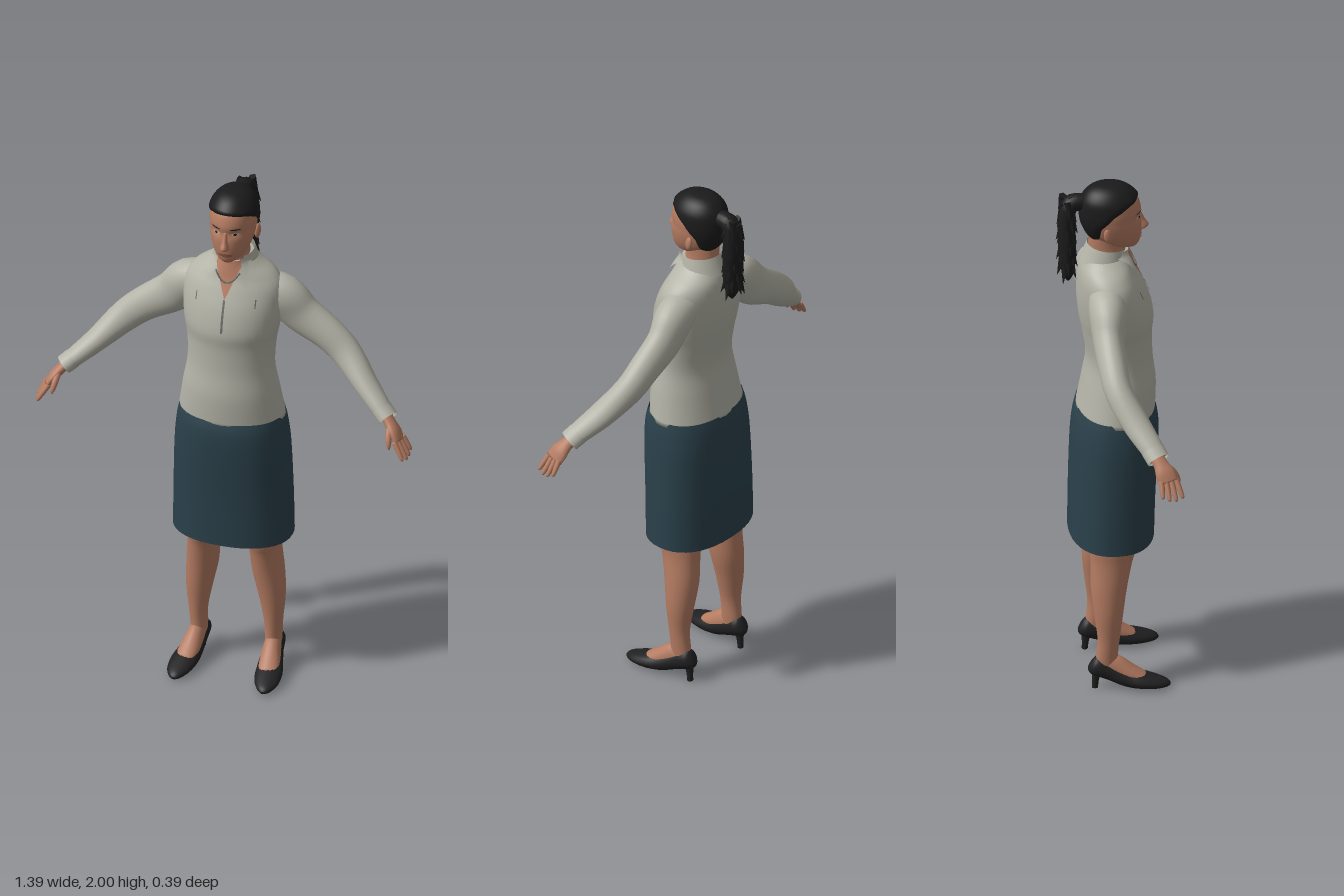
import * as THREE from 'three';

const mat = (name, color, side = THREE.FrontSide) => {
  const m = new THREE.MeshStandardMaterial({ color, side });
  m.name = name;
  return m;
};
const { lerp, clamp } = THREE.MathUtils;

// Smooth a list of number rows by Catmull-Rom interpolation
function dense(rows, n = 5) {
  const out = [], at = i => rows[clamp(i, 0, rows.length - 1)];
  for (let i = 0; i < rows.length - 1; i++) {
    for (let k = 0; k < n; k++) {
      const t = k / n;
      out.push(rows[i].map((b, c) => {
        const a = at(i - 1)[c], d = at(i + 1)[c], e = at(i + 2)[c];
        return 0.5 * (2 * b + (d - a) * t + (2 * a - 5 * b + 4 * d - e) * t * t + (3 * b - a - 3 * d + e) * t * t * t);
      }));
    }
  }
  out.push(rows[rows.length - 1]);
  return out;
}

// Skin rings {c, u, v} (u, v are scaled half axes) into one smooth surface
function skin(rings, { seg = 32, p = 1, capped = true, rule } = {}) {
  const pos = [], idx = [], v3 = new THREE.Vector3();
  const pw = a => Math.sign(a) * Math.abs(a) ** p;
  const add = v => { if (rule) rule(v); pos.push(v.x, v.y, v.z); };
  for (const { c, u, v } of rings) for (let j = 0; j < seg; j++) {
    const t = j / seg * Math.PI * 2;
    add(v3.copy(c).addScaledVector(u, pw(Math.cos(t))).addScaledVector(v, pw(Math.sin(t))));
  }
  const last = rings.length - 1, base = rings.length * seg;
  for (let i = 0; i < last; i++) for (let j = 0; j < seg; j++) {
    const a = i * seg + j, b = i * seg + (j + 1) % seg;
    idx.push(a, b, a + seg, b, b + seg, a + seg);
  }
  if (capped) {
    add(v3.copy(rings[0].c));
    add(v3.copy(rings[last].c));
    for (let j = 0; j < seg; j++) {
      const k = (j + 1) % seg;
      idx.push(base, k, j, base + 1, last * seg + j, last * seg + k);
    }
  }
  const g = new THREE.BufferGeometry();
  g.setAttribute('position', new THREE.Float32BufferAttribute(pos, 3));
  g.setIndex(idx);
  g.computeVertexNormals();
  return g;
}

// Upright body from rows [y, half width, front z, back z, centre x], bottom to top
const body = (rows, opt) => skin(dense(rows).map(([y, w, f, b, x = 0]) => ({
  c: new THREE.Vector3(x, y, (f + b) / 2), u: new THREE.Vector3(0, 0, (f - b) / 2), v: new THREE.Vector3(w, 0, 0),
})), opt);

// Limb along a path from rows [x, y, z, half size along ref, half size across]
function limb(rows, ref, opt) {
  const d = dense(rows, 4), P = d.map(r => new THREE.Vector3(r[0], r[1], r[2]));
  return skin(d.map((r, i) => {
    const w = P[Math.min(i + 1, P.length - 1)].clone().sub(P[Math.max(i - 1, 0)]).normalize();
    const u = ref.clone().addScaledVector(w, -ref.dot(w)).normalize();
    const v = w.clone().cross(u);
    return { c: P[i], u: u.multiplyScalar(r[3]), v: v.multiplyScalar(r[4]) };
  }), { seg: 20, ...opt });
}

// Front depth of an upright body at x, y
function frontZ(rows, x, y) {
  const d = dense(rows);
  let i = 0;
  while (i < d.length - 2 && d[i + 1][0] < y) i++;
  const t = clamp((y - d[i][0]) / (d[i + 1][0] - d[i][0]), 0, 1);
  const [w, f, b] = [1, 2, 3].map(k => lerp(d[i][k], d[i + 1][k], t));
  return (f + b) / 2 + (f - b) / 2 * Math.sqrt(Math.max(0, 1 - (x / w) ** 2));
}

// Thin piece laid on the front of a body, between x edges l(t) and r(t)
function patch(rows, y0, y1, l, r, off, nx = 8, ny = 8) {
  const g = new THREE.PlaneGeometry(1, 1, nx, ny), p = g.attributes.position;
  for (let i = 0; i < p.count; i++) {
    const t = p.getY(i) + 0.5, y = lerp(y0, y1, t), x = lerp(l(t), r(t), p.getX(i) + 0.5);
    p.setXYZ(i, x, y, frontZ(rows, x, y) + off);
  }
  g.computeVertexNormals();
  return g;
}

const HEAD = [[1.745, .025, .1, .04], [1.762, .05, .111, -.02], [1.8, .07, .118, -.068], [1.84, .08, .119, -.09], [1.87, .083, .114, -.098],
  [1.9, .084, .116, -.1], [1.94, .079, .104, -.094], [1.97, .06, .077, -.073], [1.986, .036, .046, -.045], [1.991, .012, .014, -.016]];
const TORSO = [[1.085, .195, .165, -.118], [1.2, .177, .168, -.097], [1.3, .16, .157, -.082], [1.4, .163, .155, -.095], [1.47, .175, .16, -.108],
  [1.55, .183, .142, -.115], [1.62, .18, .112, -.113], [1.665, .15, .09, -.108], [1.7, .1, .08, -.098], [1.73, .065, .07, -.088]];

export function createModel() {
  const model = new THREE.Group();
  const skinM = mat('skin', 0xb57c62), shirtM = mat('shirt', 0xb3b3a7, THREE.DoubleSide), skirtM = mat('skirt', 0x2b414b, THREE.DoubleSide);
  const hairM = mat('hair', 0x1b1b1c), shoeM = mat('shoe', 0x202022), trimM = mat('trim', 0x6c6d68, THREE.DoubleSide);
  const lipM = mat('lips', 0x8f5546), eyeM = mat('eyeWhite', 0xc9beb4);
  const X = new THREE.Vector3(1, 0, 0), Y = new THREE.Vector3(0, 1, 0), Z = new THREE.Vector3(0, 0, 1);
  const add = (name, geo, m) => {
    const mesh = new THREE.Mesh(geo, m);
    mesh.name = name;
    model.add(mesh);
    return mesh;
  };

  // Clothing
  add('blouse', body(TORSO, { seg: 40 }), shirtM);
  add('skirt', body([[.58, .22, .16, -.145], [.75, .217, .165, -.143], [.95, .21, .175, -.137], [1.05, .2, .175, -.127], [1.1, .19, .163, -.114]],
    { seg: 40, p: .88, capped: false }), skirtM);
  add('neckOpening', patch(TORSO, 1.6, 1.735, t => -.055 * t, t => .055 * t, .004), skinM);
  add('placket', patch(TORSO, 1.48, 1.6, () => -.004, () => .004, .004, 1), trimM);
  const band = add('collarBand', new THREE.CylinderGeometry(.072, .09, .07, 32, 2, true, .75, Math.PI * 2 - 1.5), shirtM);
  band.position.set(0, 1.72, -.01);
  band.rotation.x = .12;
  const chain = [-.045, -.025, 0, .025, .045].map(x => {
    const y = 1.658 + 18 * x * x;
    return new THREE.Vector3(x, y, frontZ(TORSO, x, y) + .007);
  });
  add('necklace', new THREE.TubeGeometry(new THREE.CatmullRomCurve3(chain), 20, .003, 6), trimM);

  // Neck and head
  add('neck', body([[1.66, .055, .065, -.075], [1.72, .054, .062, -.073], [1.76, .052, .055, -.073], [1.82, .055, .06, -.07]]), skinM);
  add('head', body(HEAD, { seg: 48, rule: v => {
    if (v.z > 0) v.z -= .006 * Math.exp(-(((Math.abs(v.x) - .035) / .018) ** 2) - ((v.y - 1.873) / .014) ** 2);
  } }), skinM);
  add('nose', body([[1.803, .008, .118, .09], [1.81, .017, .134, .09], [1.822, .016, .145, .09], [1.845, .011, .131, .09], [1.878, .008, .116, .09]],
    { seg: 16 }), skinM);
  const bow = (w, t) => w * Math.sqrt(Math.max(0, 1 - (2 * t - 1) ** 2));
  add('lips', patch(HEAD, 1.777, 1.793, t => -bow(.026, t), t => bow(.026, t), .003), lipM);

  // Hair shell that sinks under the skin along the hairline
  const line = [[1.7, -.05], [1.85, -.035], [1.9, .01], [1.93, .06], [1.95, .13], [2.1, .6]];
  const hairline = y => {
    const i = Math.max(1, line.findIndex(q => q[0] > y)), [a, b] = [line[i - 1], line[i]];
    return lerp(a[1], b[1], (y - a[0]) / (b[0] - a[0]));
  };
  const middle = new THREE.Vector3(0, 1.87, 0);
  add('hairCap', body(HEAD, { seg: 64, rule: v => {
    const d = Math.min(hairline(v.y) - v.z, v.y - 1.765);
    v.addScaledVector(v.clone().sub(middle).normalize(), clamp(d * .5, -.015, .008));
  } }), hairM);

  // Ponytail with loose pointed locks
  add('ponytail', limb([[0, 1.93, -.085, .03, .03], [0, 1.925, -.135, .035, .033], [0, 1.87, -.153, .04, .03], [0, 1.78, -.15, .044, .033],
    [0, 1.7, -.148, .04, .03], [0, 1.64, -.146, .026, .02], [0, 1.61, -.146, .004, .004]], X), hairM);
  let seed = 7;
  const rnd = () => (seed = seed * 16807 % 2147483647) / 2147483647;
  const lockGeo = new THREE.ConeGeometry(.016, .07, 5);
  for (let i = 0; i < 42; i++) {
    const t = i / 41, a = i * 2.4, lock = add('hairLock', lockGeo, hairM);
    lock.position.set(Math.sin(a) * .037, lerp(1.925, 1.65, t), -.15 + Math.cos(a) * .026);
    const out = new THREE.Vector3(Math.sin(a) * .5, -.9 - .4 * rnd(), Math.cos(a) * .4);
    lock.quaternion.setFromUnitVectors(Y, out.normalize());
  }

  for (const s of [1, -1]) {
    const side = s > 0 ? 'left' : 'right';
    const m = rows => rows.map(([x, ...r]) => [x * s, ...r]);
    const part = (name, geo, material) => add(side + name, geo, material);

    // Face details
    const oval = (w, c) => [t => s * c - bow(w, t), t => s * c + bow(w, t)];
    part('Eye', patch(HEAD, 1.867, 1.877, ...oval(.013, .035), .0005), eyeM);
    part('Iris', patch(HEAD, 1.867, 1.877, ...oval(.006, .035), .002), hairM);
    part('Brow', patch(HEAD, 1.89, 1.895, ...oval(.018, .036), .002), hairM);
    const ear = part('Ear', new THREE.SphereGeometry(1, 14, 10), skinM);
    ear.scale.set(.009, .028, .016);
    ear.position.set(s * .083, 1.828, -.012);
    ear.rotation.set(-.2, s * -.3, 0);

    // Collar leaf and chest dart
    const e = [t => s * lerp(.066, .04, t), t => s * lerp(.078, .07, t)];
    part('CollarLeaf', patch(TORSO, 1.65, 1.745, ...(s > 0 ? e : e.reverse()), .014), shirtM);
    part('ChestDart', patch(TORSO, 1.575, 1.605, () => s * .11 - .002, () => s * .11 + .002, .003, 1), trimM);

    // Sleeve and cuff
    part('Sleeve', limb(m([[.08, 1.6, -.02, .06, .05], [.17, 1.57, -.025, .068, .078], [.24, 1.497, -.032, .056, .076], [.34, 1.432, -.028, .052, .064],
      [.415, 1.37, -.015, .05, .057], [.5, 1.288, .035, .049, .043], [.57, 1.228, .08, .042, .035], [.6, 1.203, .097, .038, .031]]), Z, { seg: 28 }), shirtM);
    part('Cuff', limb(m([[.575, 1.224, .083, .043, .036], [.606, 1.198, .1, .042, .035]]), Z, { capped: false }), shirtM);

    // Hand: palm, four fingers and a thumb
    part('Palm', limb(m([[.59, 1.21, .092, .026, .02], [.615, 1.185, .107, .027, .019], [.637, 1.16, .12, .036, .018],
      [.655, 1.132, .13, .036, .013]]), Z), skinM);
    for (let i = 0; i < 4; i++) {
      const k = (i - 1.5) * .018, len = [.8, .95, 1, .9][i];
      const at = (t, r) => [.652 - k * .25 + .042 * t * len, 1.14 - .068 * t * len, .13 + k * (1 + .35 * t) + .012 * t, r, r];
      part('Finger', limb(m([at(0, .01), at(.5, .0095), at(.9, .007), at(1, .002)]), Z, { seg: 10 }), skinM);
    }
    part('Thumb', limb(m([[.618, 1.185, .118, .013, .013], [.622, 1.158, .15, .012, .012], [.627, 1.13, .167, .009, .009],
      [.63, 1.113, .172, .002, .002]]), X, { seg: 10 }), skinM);

    // Leg and foot
    part('Leg', body([[.07, .028, .02, -.066, .139], [.12, .031, .015, -.064, .139], [.2, .035, .022, -.058, .14], [.3, .049, .035, -.07, .135],
      [.4, .058, .05, -.08, .123], [.5, .058, .07, -.08, .115], [.56, .062, .086, -.083, .112], [.7, .075, .1, -.09, .105]]
      .map(r => [...r.slice(0, 4), r[4] * s])), skinM);
    part('Foot', limb(m([[.138, .105, -.05, .035, .026], [.142, .085, 0, .045, .032], [.15, .055, .06, .033, .038], [.157, .035, .11, .02, .036]]), Y), skinM);

    // Pump with a slim heel
    part('Shoe', limb(m([[.137, .1, -.082, .022, .01], [.138, .092, -.066, .038, .032], [.142, .068, -.01, .037, .037], [.15, .041, .05, .034, .045],
      [.158, .03, .1, .029, .049], [.164, .022, .15, .021, .042], [.166, .016, .185, .014, .025], [.166, .012, .2, .005, .009]]), Y), shoeM);
    part('Heel', body([[0, .011, -.056, -.078, .138], [.04, .013, -.05, -.078, .138], [.085, .025, -.03, -.08, .138]]
      .map(r => [...r.slice(0, 4), r[4] * s]), { seg: 14 }), shoeM);
  }
  return model;
}
